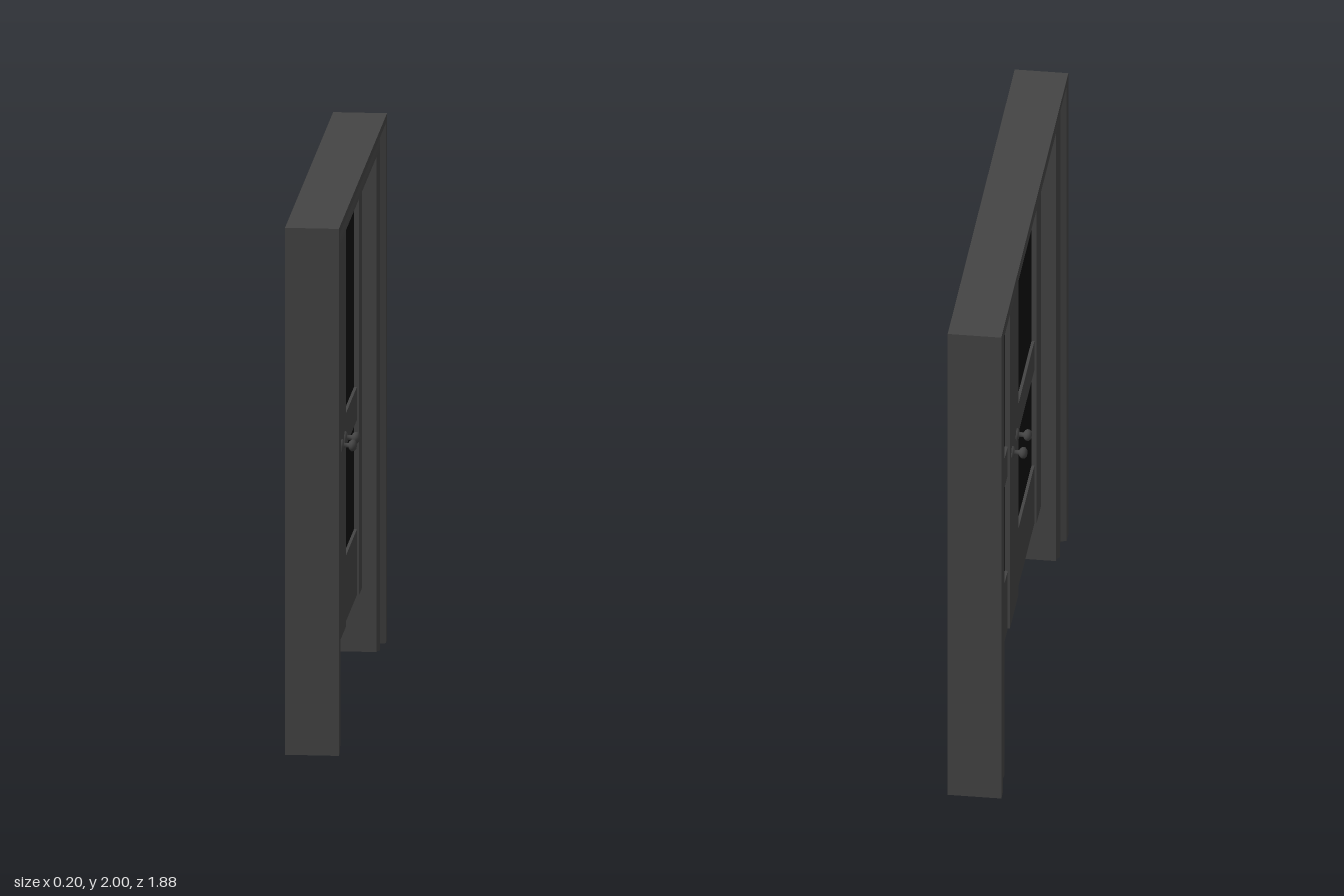
import * as THREE from 'three';

const woodMat = new THREE.MeshStandardMaterial({ color: 0x444444 });
const glassMat = new THREE.MeshStandardMaterial({ color: 0x0e0e0e });

// Moulding section: [fraction from outer edge to inner edge, half depth]
const section = [[0, 0.1], [0.25, 0.1], [0.29, 0.078], [0.5, 0.08], [0.72, 0.088], [0.86, 0.09], [0.92, 0.08], [1, 0.08]];

// Mitred door frame: the moulding swept up one post, across the head and down the other
function frameGeometry() {
  const loop = [...section, ...section.map(([t, d]) => [t, -d]).reverse()];
  const point = ([t, d], s) => {
    const z = 0.94 - 0.195 * t;
    const y = s === 0 || s === 3 ? 0 : 2 - 0.11 * t;
    return [d, y, s < 2 ? z : -z];
  };
  const pos = [];
  const quad = (a, b, c, d) => pos.push(...a, ...b, ...c, ...a, ...c, ...d);
  for (let s = 0; s < 3; s++) {
    loop.forEach((p, i) => {
      const q = loop[(i + 1) % loop.length];
      quad(point(p, s), point(q, s), point(q, s + 1), point(p, s + 1));
    });
  }
  // Feet of the posts
  const back = ([t, d]) => [t, -d];
  for (let i = 0; i < section.length - 1; i++) {
    const p = section[i], q = section[i + 1];
    quad(point(p, 0), point(back(p), 0), point(back(q), 0), point(q, 0));
    quad(point(q, 3), point(back(q), 3), point(back(p), 3), point(p, 3));
  }
  const g = new THREE.BufferGeometry();
  g.setAttribute('position', new THREE.Float32BufferAttribute(pos, 3));
  g.computeVertexNormals();
  return g;
}

// Box given by its depth and its y and z ranges
function slab(name, depth, y0, y1, z0, z1, mat = woodMat) {
  const m = new THREE.Mesh(new THREE.BoxGeometry(depth, y1 - y0, Math.abs(z1 - z0)), mat);
  m.position.set(0, (y0 + y1) / 2, (z0 + z1) / 2);
  m.name = name;
  return m;
}

// Rosette, neck and round grip turned as one piece
function knobGeometry() {
  const pts = [[0, 0], [0.023, 0], [0.023, 0.005], [0.017, 0.009], [0.009, 0.011], [0.009, 0.026],
    [0.017, 0.031], [0.022, 0.039], [0.021, 0.048], [0.014, 0.055], [0, 0.058]];
  return new THREE.LatheGeometry(pts.map(([x, y]) => new THREE.Vector2(x, y)), 20);
}

// One leaf; side +1 lies toward +z, with its meeting edge at z = 0
function doorLeaf(side, knobGeo) {
  const leaf = new THREE.Group();
  leaf.name = side > 0 ? 'leftDoor' : 'rightDoor';
  const width = 0.7475, stile = 0.1225, bottom = 0.24, top = 1.9;
  const a = side * stile, b = side * (width - stile);
  leaf.add(
    slab('meetingStile', 0.05, bottom, top, 0, a),
    slab('hingeStile', 0.05, bottom, top, b, side * width),
    slab('bottomRail', 0.034, bottom, 0.49, a, b),
    slab('lockRail', 0.034, 0.905, 1.03, a, b),
    slab('topRail', 0.034, 1.765, top, a, b),
    slab('lowerPane', 0.012, 0.49, 0.905, a, b, glassMat),
    slab('upperPane', 0.012, 1.03, 1.765, a, b, glassMat),
  );
  // A knob on each face
  for (const face of [1, -1]) {
    const knob = new THREE.Mesh(knobGeo, woodMat);
    knob.name = 'knob';
    knob.rotation.z = -face * Math.PI / 2;
    knob.position.set(face * 0.025, 0.97, side * 0.063);
    leaf.add(knob);
  }
  return leaf;
}

export function createModel() {
  const model = new THREE.Group();
  model.name = 'doubleDoor';

  const frame = new THREE.Mesh(frameGeometry(), woodMat);
  frame.name = 'frame';
  model.add(frame);

  // Pair of leaves, hung slightly off centre
  const doors = new THREE.Group();
  doors.name = 'doors';
  doors.position.z = -0.0125;
  const knobGeo = knobGeometry();
  for (const side of [1, -1]) doors.add(doorLeaf(side, knobGeo));
  model.add(doors);

  return model;
}
